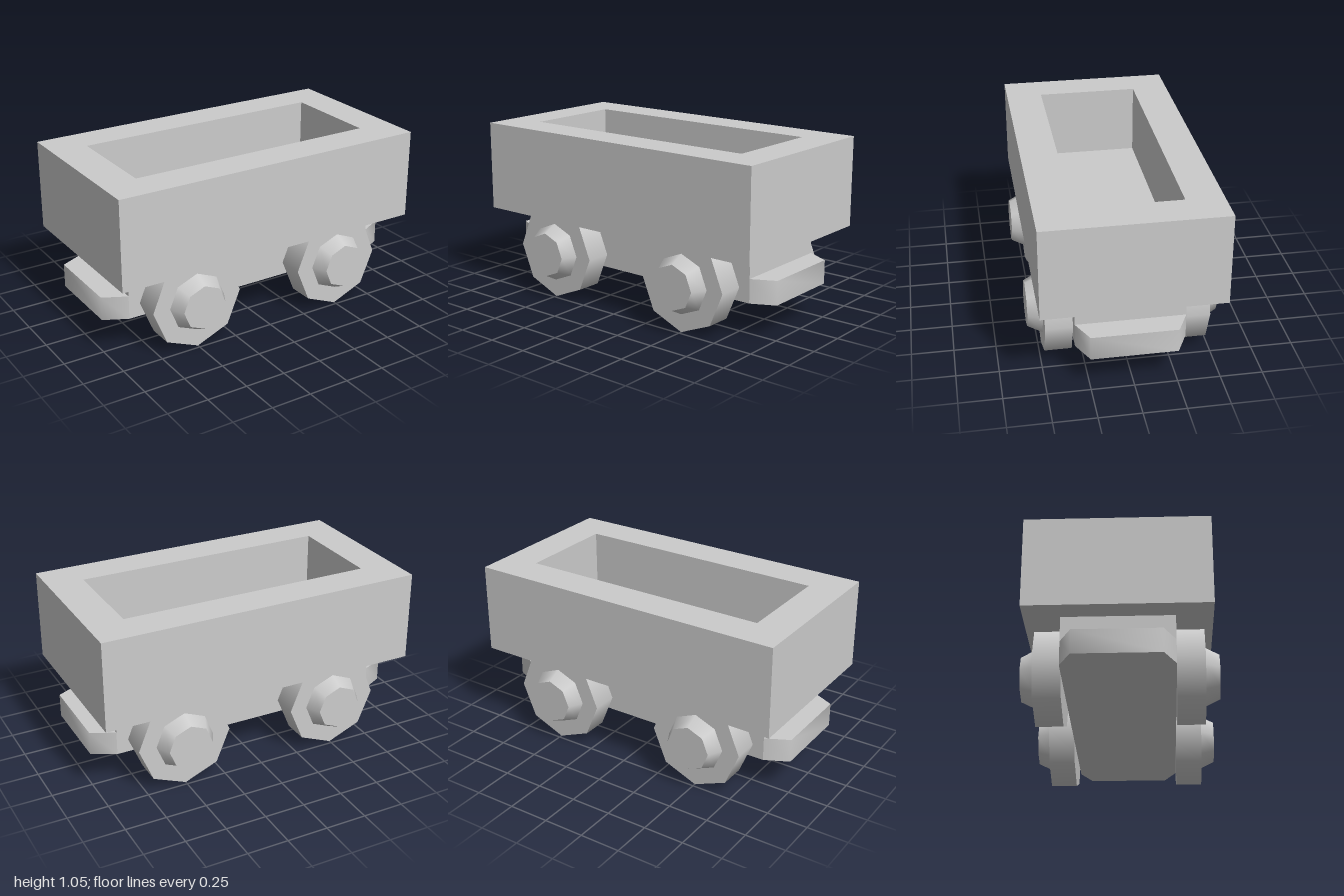
import * as THREE from 'three';
import { toCreasedNormals } from 'three/addons/utils/BufferGeometryUtils.js';

export function createModel() {
  const model = new THREE.Group();
  model.name = 'mineCart';
  const material = new THREE.MeshStandardMaterial({ color: 0xcccccc });

  function add(name, geometry, x = 0, y = 0, z = 0, parent = model) {
    const mesh = new THREE.Mesh(geometry, material);
    mesh.name = name;
    mesh.position.set(x, y, z);
    parent.add(mesh);
    return mesh;
  }

  function rectangle(PathType, halfX, halfY) {
    return new PathType([
      new THREE.Vector2(-halfX, -halfY), new THREE.Vector2(halfX, -halfY),
      new THREE.Vector2(halfX, halfY), new THREE.Vector2(-halfX, halfY),
    ]);
  }

  // Extrudes a plan outline upwards
  function extrudeUp(shape, height) {
    const geometry = new THREE.ExtrudeGeometry(shape, { depth: height, bevelEnabled: false });
    return geometry.rotateX(-Math.PI / 2);
  }

  // Open tray: thick walls over a solid floor
  const bottom = 0.505, floor = 0.62, top = 1.055;
  const walls = rectangle(THREE.Shape, 1, 0.528);
  walls.holes.push(rectangle(THREE.Path, 0.78, 0.307));
  add('trayWalls', extrudeUp(walls, top - floor), 0, floor, 0);
  add('trayFloor', new THREE.BoxGeometry(2, floor - bottom, 1.056), 0, (bottom + floor) / 2, 0);

  // Chassis block under the tray
  add('chassis', new THREE.BoxGeometry(1.72, 0.295, 0.64), 0, 0.3575, 0);

  // Bumpers with angled corners at both ends
  const bumper = new THREE.Shape([
    new THREE.Vector2(0.86, -0.32), new THREE.Vector2(1, -0.25),
    new THREE.Vector2(1, 0.25), new THREE.Vector2(0.86, 0.32),
  ]);
  const bumperGeometry = toCreasedNormals(extrudeUp(bumper, 0.145), 1.2);
  for (const side of [1, -1]) {
    const mesh = add(side > 0 ? 'leftBumper' : 'rightBumper', bumperGeometry, 0, 0.21, 0);
    if (side < 0) mesh.rotation.y = Math.PI;
  }

  // Octagonal wheels with tapered hubs
  const tireGeometry = new THREE.CylinderGeometry(0.29, 0.29, 0.16, 8).rotateX(Math.PI / 2);
  const hubGeometry = new THREE.CylinderGeometry(0.137, 0.181, 0.085, 8).rotateX(Math.PI / 2);
  for (const x of [-0.5, 0.5]) {
    for (const side of [1, -1]) {
      const wheel = new THREE.Group();
      wheel.name = (side > 0 ? 'front' : 'back') + (x > 0 ? 'Left' : 'Right') + 'Wheel';
      add('wheelRim', tireGeometry, 0, 0, 0.4, wheel);
      add('wheelHub', hubGeometry, 0, 0, 0.5225, wheel);
      wheel.position.set(x, 0.29, 0);
      if (side < 0) wheel.rotation.y = Math.PI;
      model.add(wheel);
    }
  }

  return model;
}
